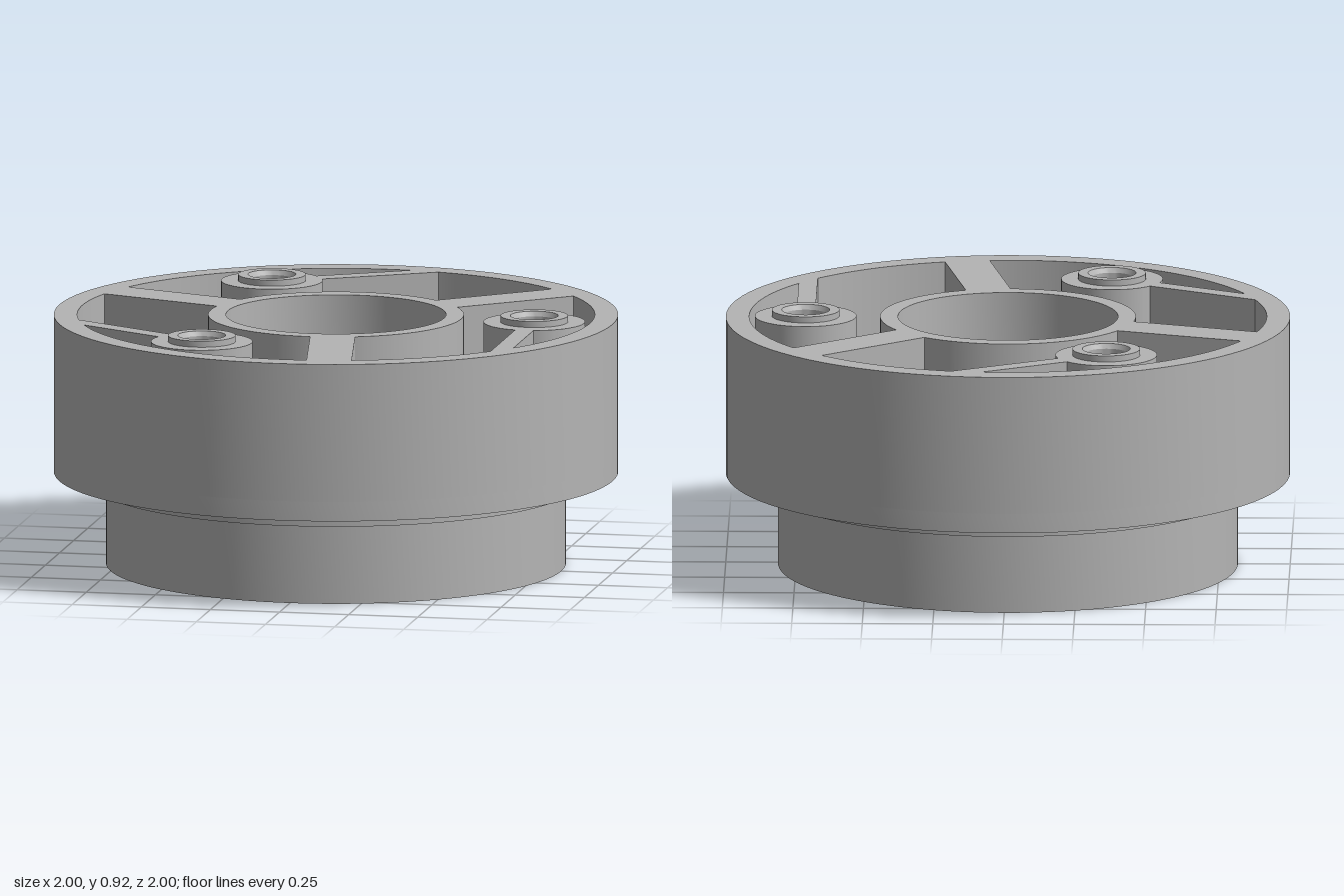
import * as THREE from 'three';
import { toCreasedNormals } from 'three/addons/utils/BufferGeometryUtils.js';

const RIM = 0.917, HUB = 0.453, SPOKE = 0.08, BOSS_AT = 0.717, BOSS = 0.18, RIB = 0.033;
const TOP = 0.895, FLOOR = 0.4;
const rad = THREE.MathUtils.degToRad;

function circle(Type, x, y, r) {
  return new Type().absarc(x, y, r, 0, Math.PI * 2, false);
}

// Extrudes a plan outline (x, z) downward from yTop
function slab(shape, yTop, depth) {
  const g = new THREE.ExtrudeGeometry(shape, { depth, bevelEnabled: false, curveSegments: 48 });
  g.rotateX(Math.PI / 2).translate(0, yTop, 0);
  return toCreasedNormals(g, 0.5);
}

function turned(points, segments = 96) {
  const g = new THREE.LatheGeometry(points.map(p => new THREE.Vector2(...p)), segments);
  return toCreasedNormals(g, 0.5);
}

// Pocket between two spokes, wrapping round a boss that is tied to the rim by a rib
function pocket(t) {
  const from = t + rad(-40), to = t + rad(80);
  const rimGap = Math.asin(SPOKE / RIM), hubGap = Math.asin(SPOKE / HUB);
  const bossGap = Math.acos(RIB / BOSS);
  const p = new THREE.Path();
  p.absarc(0, 0, HUB, to - hubGap, from + hubGap, true);
  p.absarc(0, 0, RIM, from + rimGap, t + Math.acos((BOSS_AT + RIB) / RIM), false);
  p.absarc(BOSS_AT * Math.cos(t), BOSS_AT * Math.sin(t), BOSS,
    t + bossGap, t + Math.PI - bossGap, true);
  p.absarc(0, 0, RIM, t + Math.acos((BOSS_AT - RIB) / RIM), to - rimGap, false);
  p.closePath();
  return p;
}

export function createModel() {
  const group = new THREE.Group();
  const grey = new THREE.MeshStandardMaterial({ color: 0xb4b4b4 });
  grey.name = 'grey';
  const add = (name, geometry) => {
    const mesh = new THREE.Mesh(geometry, grey);
    mesh.name = name;
    group.add(mesh);
    return mesh;
  };
  const thirds = [0, 1, 2].map(i => i * Math.PI * 2 / 3);

  // Drum with rim, spokes, hub, bosses and ribs
  const drum = circle(THREE.Shape, 0, 0, 1);
  drum.holes.push(circle(THREE.Path, 0, 0, 0.39));
  for (const t of thirds) {
    drum.holes.push(pocket(t));
    drum.holes.push(circle(THREE.Path, BOSS_AT * Math.cos(t), BOSS_AT * Math.sin(t), 0.1));
  }
  add('drum', slab(drum, TOP, TOP - FLOOR));

  // Drum floor and the flange under it
  add('floorAndFlange', turned([[0, 0.285], [0.857, 0.285], [0.857, 0.33], [1, 0.33], [1, FLOOR], [0, FLOOR]]));

  // Stepped seat inside the hub
  add('hubSeat', turned([[0.39, 0.69], [0.3, 0.69], [0.3, 0.64], [0, 0.64]]));

  // Raised collars with chamfered blind holes
  const collar = turned([[0.12, TOP], [0.12, 0.917], [0.085, 0.917], [0.075, 0.9], [0.075, 0.45], [0, 0.45]], 48);
  for (const t of thirds) {
    add('bossCollar', collar).position.set(BOSS_AT * Math.cos(t), 0, BOSS_AT * Math.sin(t));
  }

  // Base with three screw holes underneath
  const base = circle(THREE.Shape, 0, 0, 0.815);
  for (const t of thirds) {
    const a = t + Math.PI / 3;
    base.holes.push(circle(THREE.Path, 0.41 * Math.cos(a), 0.41 * Math.sin(a), 0.05));
  }
  add('base', slab(base, 0.285, 0.285));

  return group;
}
